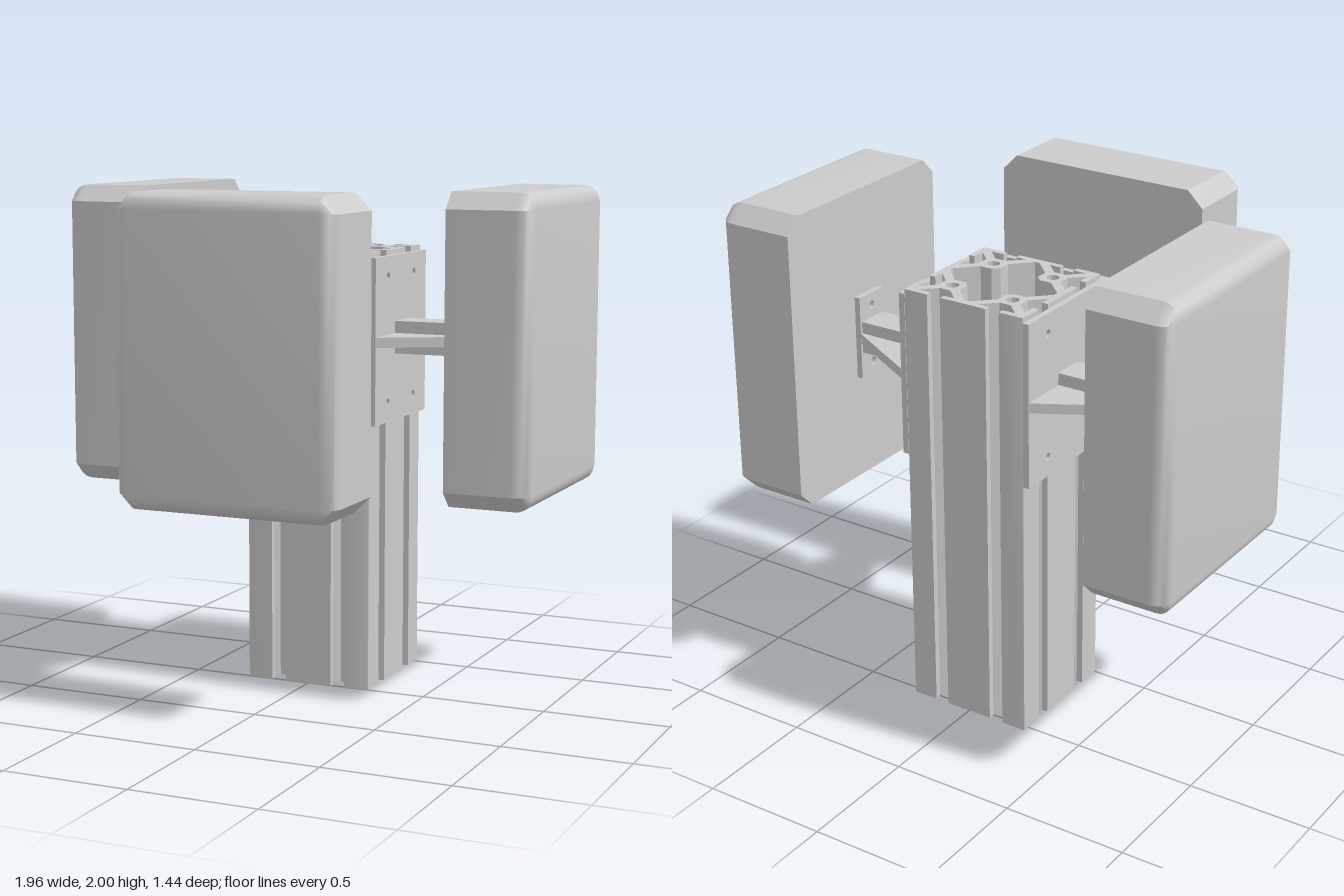
import * as THREE from 'three';
import { toCreasedNormals } from 'three/addons/utils/BufferGeometryUtils.js';

const mat = new THREE.MeshStandardMaterial({ color: 0xcccccc });

function mesh(name, geo, x = 0, y = 0, z = 0) {
  const m = new THREE.Mesh(geo, mat);
  m.name = name;
  m.position.set(x, y, z);
  return m;
}

const toPoints = (pts) => pts.map(([x, y]) => new THREE.Vector2(x, y));
const toShape = (pts) => new THREE.Shape(toPoints(pts));

function addHole(shape, x, y, r) {
  shape.holes.push(new THREE.Path().absarc(x, y, r, 0, Math.PI * 2, true));
}

const extrude = (shape, depth) =>
  toCreasedNormals(new THREE.ExtrudeGeometry(shape, { depth, bevelEnabled: false, curveSegments: 12 }), 0.6);

// Turn one eighth of an outline (side middle to diagonal) into a four-fold clockwise loop
function symmetric(eighth) {
  const quarter = [...eighth, ...eighth.slice(0, -1).reverse().map(([u, v]) => [v, u])];
  const loop = [];
  for (let q = 0, rot = quarter; q < 4; q++) {
    loop.push(...rot);
    rot = rot.map(([u, v]) => [v, -u]);
  }
  return loop;
}

// Slotted column: two T-slots per side, four bored bosses, open core
function makeColumn() {
  const outline = symmetric([
    [0.1, 0.265], [0.1, 0.24], [0.055, 0.24], [0.11, 0.185], [0.16, 0.185],
    [0.215, 0.24], [0.16, 0.24], [0.16, 0.265], [0.26, 0.265], [0.2635, 0.2635],
  ]);
  // outline runs counter-clockwise, holes clockwise
  const shape = toShape(outline.reverse());
  const core = symmetric([[0.01, 0.235], [0.085, 0.16], [0.085, 0.11], [0.097, 0.097]]);
  shape.holes.push(new THREE.Path(toPoints(core)));
  for (const x of [-0.135, 0.135]) for (const y of [-0.135, 0.135]) addHole(shape, x, y, 0.025);
  const geo = extrude(shape, 1.75);
  geo.rotateX(-Math.PI / 2);
  return mesh('column', geo, 0, 0, -0.262);
}

// Drilled mounting plate
function makePlate(name, w, h, holes, z) {
  const shape = toShape([[-w / 2, -h / 2], [w / 2, -h / 2], [w / 2, h / 2], [-w / 2, h / 2]]);
  holes.forEach(([x, y]) => addHole(shape, x, y, 0.016));
  return mesh(name, extrude(shape, 0.025), 0, 0, z);
}

// Cushion: flat back, rounded outer edges, corner chamfers that narrow to a point at the outer face
function makePad() {
  const w = 0.458, h = 0.6, c = 0.065, r = 0.064, depth = 0.333, steps = 9;
  const shape = toShape([
    [-w + c, -h], [w - c, -h], [w, -h + c], [w, h - c],
    [w - c, h], [-w + c, h], [-w, h - c], [-w, -h + c],
  ]);
  const geo = new THREE.ExtrudeGeometry(shape, { depth, steps, bevelEnabled: false });
  const p = geo.attributes.position;
  const clamp = THREE.MathUtils.clamp;
  for (let i = 0; i < p.count; i++) {
    const k = Math.round((p.getZ(i) / depth) * steps);
    if (k === 0) continue;
    // layers 1..steps follow a quarter circle
    const a = ((k - 1) / (steps - 1)) * Math.PI / 2;
    const inset = r * (1 - Math.cos(a));
    p.setXYZ(i,
      clamp(p.getX(i), -w + inset, w - inset),
      clamp(p.getY(i), -h + inset, h - inset),
      depth - r + r * Math.sin(a));
  }
  return mesh('pad', toCreasedNormals(geo, 0.6), 0, 0, 0.388);
}

// Bracket with pad, pointing along +z from the column face
function makePadUnit(name) {
  const unit = new THREE.Group();
  unit.name = name;
  const corners = [[-0.135, -0.25], [0.135, -0.25], [-0.135, 0.25], [0.135, 0.25]];
  unit.add(makePlate('columnPlate', 0.53, 0.66, corners, 0.003));
  unit.add(makePlate('padPlate', 0.15, 0.34, [[0, -0.12], [0, 0.12]], 0.364));
  // tapering horizontal web
  const web = extrude(toShape([[-0.265, 0.025], [0.265, 0.025], [0.073, 0.366], [-0.073, 0.366]]), 0.04);
  web.rotateX(Math.PI / 2);
  unit.add(mesh('web', web, 0, 0.02, 0));
  unit.add(mesh('arm', new THREE.BoxGeometry(0.13, 0.13, 0.345), 0, 0.003, 0.195));
  unit.add(makePad());
  return unit;
}

export function createModel() {
  const model = new THREE.Group();
  model.name = 'paddedColumn';
  model.add(makeColumn());

  const front = makePadUnit('frontPadUnit');
  front.position.set(-0.025, 1.4, 0);
  model.add(front);

  for (const [name, side] of [['leftPadUnit', 1], ['rightPadUnit', -1]]) {
    const unit = makePadUnit(name);
    unit.position.set(side * 0.261, 1.4, -0.262);
    unit.rotation.y = side * Math.PI / 2;
    model.add(unit);
  }
  return model;
}
